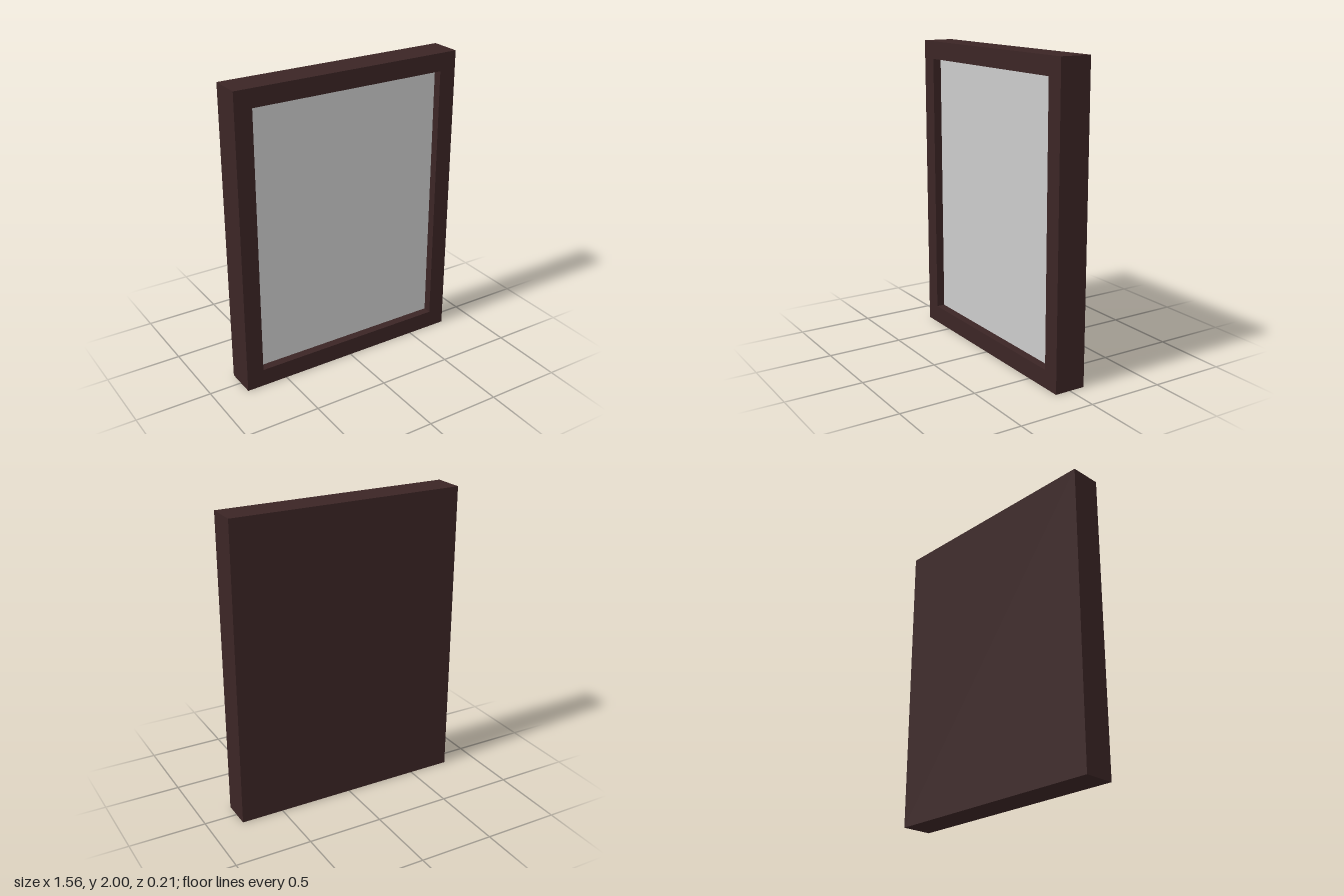
import * as THREE from 'three';

const W = 1.564, H = 2, D = 0.206; // outer size
const OPEN_W = 1.334, OPEN_H = 1.764; // opening in the border
const BACK_D = 0.143, PANE_Z = 0.047;

export function createModel() {
  const group = new THREE.Group();
  const wood = new THREE.MeshStandardMaterial({ color: 0x3b2525 });
  const grey = new THREE.MeshStandardMaterial({ color: 0xcccccc });

  const add = (name, geometry, material, z) => {
    const mesh = new THREE.Mesh(geometry, material);
    mesh.name = name;
    mesh.position.set(0, H / 2, z);
    group.add(mesh);
  };

  const corners = (w, h) => [[-1, -1], [1, -1], [1, 1], [-1, 1]]
    .map(([x, y]) => new THREE.Vector2(x * w / 2, y * h / 2));

  // Raised border around the opening
  const border = new THREE.Shape(corners(W, H));
  border.holes.push(new THREE.Path(corners(OPEN_W, OPEN_H).reverse()));
  add('frameBorder', new THREE.ExtrudeGeometry(border, { depth: D - BACK_D, bevelEnabled: false }),
    wood, BACK_D - D / 2);

  // Solid backing
  add('backing', new THREE.BoxGeometry(W, H, BACK_D), wood, (BACK_D - D) / 2);

  // Flat pane recessed in the opening
  add('pane', new THREE.PlaneGeometry(OPEN_W, OPEN_H), grey, PANE_Z);

  return group;
}
